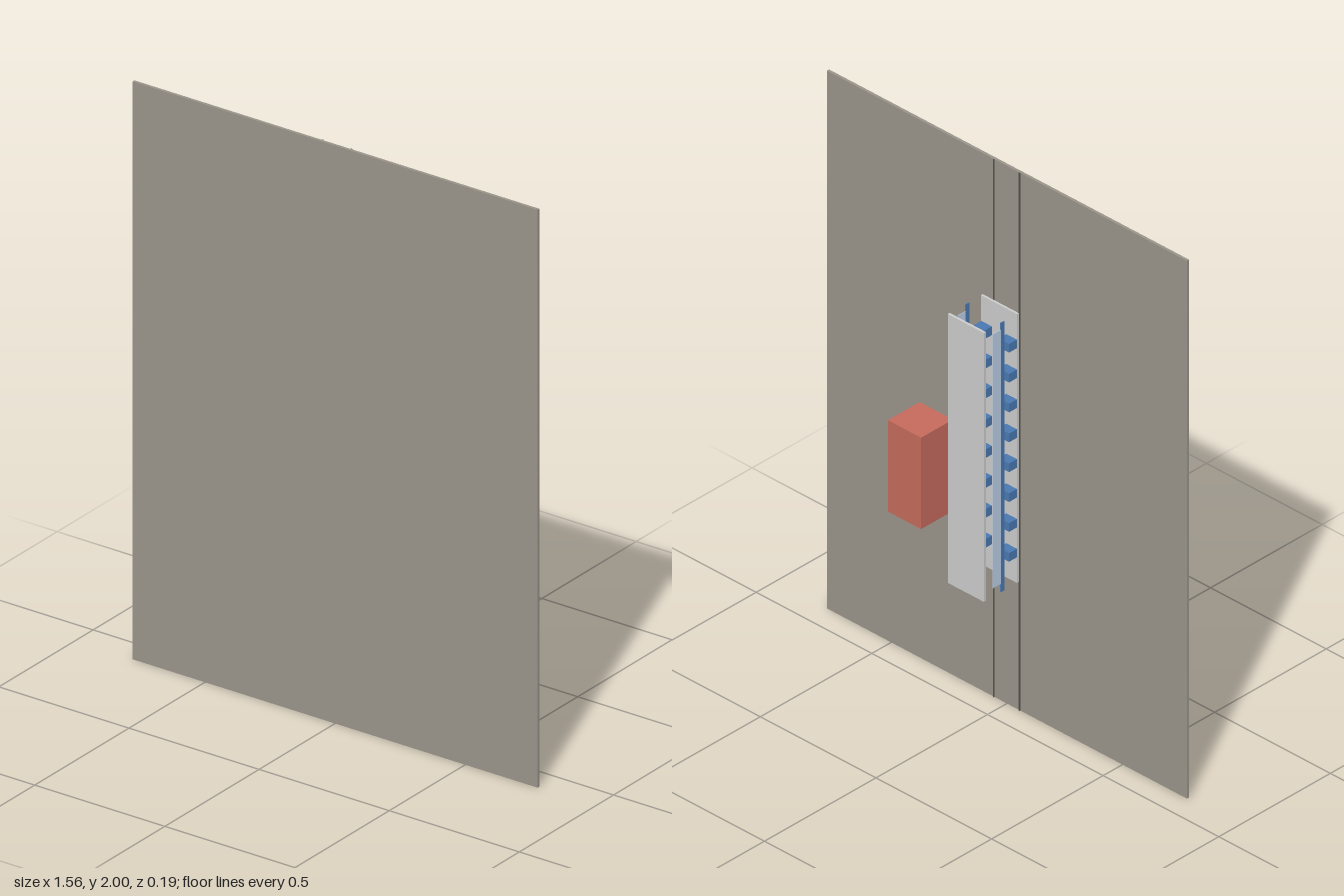
import * as THREE from 'three';

const material = (color) => new THREE.MeshStandardMaterial({ color });

export function createModel() {
  const model = new THREE.Group();
  const grey = material(0xcccccc);
  const wall = material(0x99948a);
  const seam = material(0x55524c);
  const blue = material(0x4a78b0);
  const paleBlue = material(0xb8cce4);
  const red = material(0xc46a5c);

  // Box given by its lower and upper limits on each axis
  function box(name, mat, [x0, x1], [y0, y1], [z0, z1]) {
    const mesh = new THREE.Mesh(new THREE.BoxGeometry(x1 - x0, y1 - y0, z1 - z0), mat);
    mesh.position.set((x0 + x1) / 2, (y0 + y1) / 2, (z0 + z1) / 2);
    mesh.name = name;
    model.add(mesh);
  }

  // Same box on both sides, given its inner and outer distance from the middle
  function pair(name, mat, [inner, outer], y, z) {
    box(name + 'Left', mat, [inner, outer], y, z);
    box(name + 'Right', mat, [-outer, -inner], y, z);
  }

  // Large front panel with two thin ribs on its rear face
  box('frontPanel', wall, [-0.778, 0.778], [0, 2], [0.087, 0.097]);
  pair('panelRib', seam, [0.053, 0.058], [0, 2], [0.084, 0.087]);

  // Narrow upright plates behind the panel
  box('innerPlate', grey, [-0.078, 0.078], [0.5, 1.5], [0.052, 0.06]);
  box('rearPlate', grey, [-0.078, 0.078], [0.5, 1.5], [-0.097, -0.088]);

  // Two columns of small blocks on the inner plate
  for (let i = 1; i <= 8; i++) {
    const y = 0.5 + i / 9;
    pair('block' + i, blue, [0.031, 0.077], [y - 0.016, y + 0.016], [0.017, 0.052]);
  }

  // Thin side strips: a dark rail and a paler, slightly shorter fin
  pair('sideRail', blue, [0.074, 0.078], [0.5, 1.5], [-0.02, -0.004]);
  pair('sideFin', paleBlue, [0.075, 0.077], [0.53, 1.475], [-0.055, -0.02]);

  // Control box fixed to the back of the panel
  box('controlBox', red, [0.233, 0.377], [0.61, 0.95], [-0.056, 0.087]);

  return model;
}
